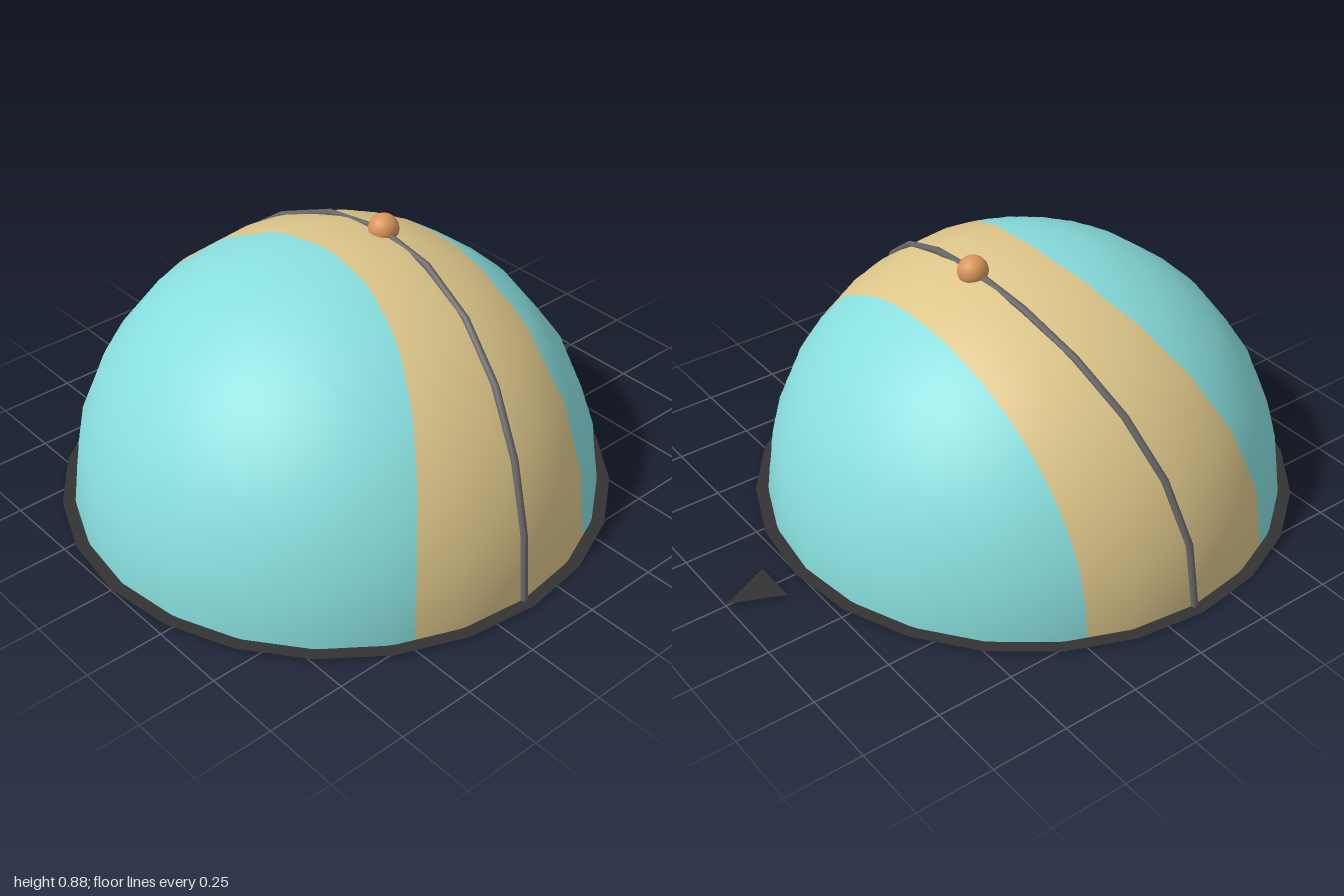
import * as THREE from 'three';

const R = 0.84;            // dome radius
const CZ = 0.12;           // dome centre along z
const SIDES = 24;
const STEP = (2 * Math.PI) / SIDES;

const material = (color, side = THREE.FrontSide) =>
  new THREE.MeshStandardMaterial({ color, side });

// radius of a unit regular 24-gon at angle a (corners at multiples of STEP)
function polygon(a) {
  const local = a - Math.floor(a / STEP) * STEP - STEP / 2;
  return Math.cos(STEP / 2) / Math.cos(local);
}

// direction given by the sweep angle t (east to west) and the tilt p (towards +z)
const direction = (t, p) => new THREE.Vector3(
  Math.cos(t) * Math.cos(p), Math.sin(t) * Math.cos(p), Math.sin(p));

// place a direction on the faceted dome
function onDome(d) {
  const lat = Math.asin(THREE.MathUtils.clamp(d.y, -1, 1));
  const r = R * polygon(lat);
  const k = polygon(Math.atan2(d.z, d.x));
  return new THREE.Vector3(d.x * r * k, d.y * r, d.z * r * k);
}

// tilt of the curve z = a - k * y^2 on the sphere, at sweep angle t
const arc = (a, k) => (t) => {
  let p = 0;
  for (let i = 0; i < 30; i++) {
    const y = R * Math.cos(p) * Math.sin(t);
    p = Math.asin((a - k * y * y) / R);
  }
  return p;
};

// dome patch between two tilt curves, with smooth normals
function domePatch(name, color, from, to) {
  const nu = 96, nv = 32, pos = [], nor = [], idx = [];
  for (let i = 0; i <= nu; i++) {
    const t = (Math.PI * i) / nu, p0 = from(t), p1 = to(t);
    for (let j = 0; j <= nv; j++) {
      const d = direction(t, THREE.MathUtils.lerp(p0, p1, j / nv));
      pos.push(...onDome(d).toArray());
      nor.push(...d.toArray());
      if (i < nu && j < nv) {
        const a = i * (nv + 1) + j, b = a + nv + 1;
        idx.push(a, b, a + 1, b, b + 1, a + 1);
      }
    }
  }
  const g = new THREE.BufferGeometry();
  g.setAttribute('position', new THREE.Float32BufferAttribute(pos, 3));
  g.setAttribute('normal', new THREE.Float32BufferAttribute(nor, 3));
  g.setIndex(idx);
  const mesh = new THREE.Mesh(g, material(color));
  mesh.name = name;
  return mesh;
}

export function createModel() {
  const model = new THREE.Group();
  model.name = 'skyDome';
  const dome = new THREE.Group();
  dome.name = 'dome';
  dome.position.set(0, 0.005, CZ);
  model.add(dome);

  const add = (name, geometry, mat, x = 0, y = 0, z = 0) => {
    const mesh = new THREE.Mesh(geometry, mat);
    mesh.name = name;
    mesh.position.set(x, y, z);
    model.add(mesh);
    return mesh;
  };

  // sky split by the band of yearly sun paths
  const summer = arc(-0.35, 0.1), winter = arc(0.357, 0.46);
  domePatch('x', 0, summer, winter);
  dome.add(
    domePatch('backSky', 0x88dddd, () => -Math.PI / 2, summer),
    domePatch('sunBand', 0xddc68a, summer, winter),
    domePatch('frontSky', 0x88dddd, winter, () => Math.PI / 2));

  // sun path across the middle of the band
  const middle = arc(0, 0.275), points = [];
  for (let i = 0; i <= 12; i++) {
    const t = (Math.PI * i) / 12;
    points.push(direction(t, middle(t)).multiplyScalar(R));
  }
  const path = new THREE.Mesh(
    new THREE.TubeGeometry(new THREE.CatmullRomCurve3(points), 12, 0.012, 8),
    material(0x666666));
  path.name = 'sunPath';
  dome.add(path);

  // sun
  add('sun', new THREE.SphereGeometry(0.048, 24, 16), material(0xd9955a), 0.01, 0.83, -0.07);

  // base: floor disc seen from below and flat rim around it
  const dark = material(0x333333, THREE.DoubleSide);
  add('floor', new THREE.CircleGeometry(R, SIDES).rotateX(Math.PI / 2),
    material(0x868686, THREE.DoubleSide), 0, 0.004, CZ);
  add('rim', new THREE.RingGeometry(R - 0.005, 0.88, SIDES).rotateX(-Math.PI / 2),
    dark, 0, 0.005, CZ);

  // compass lines under the floor, the north one thick
  add('eastWestLine', new THREE.BoxGeometry(2 * R, 0.003, 0.012), dark, 0, 0.0025, CZ);
  add('southLine', new THREE.BoxGeometry(0.012, 0.003, R), dark, 0, 0.0025, CZ + R / 2);
  add('northLine', new THREE.BoxGeometry(0.05, 0.004, R), dark, 0, 0.002, CZ - R / 2);

  // flat pointer marking north
  const pointer = new THREE.Shape([
    new THREE.Vector2(-0.075, 0.83), new THREE.Vector2(0.075, 0.83), new THREE.Vector2(0, 1)]);
  add('northPointer', new THREE.ShapeGeometry(pointer).rotateX(-Math.PI / 2), dark, 0, 0.008, 0);

  return model;
}
